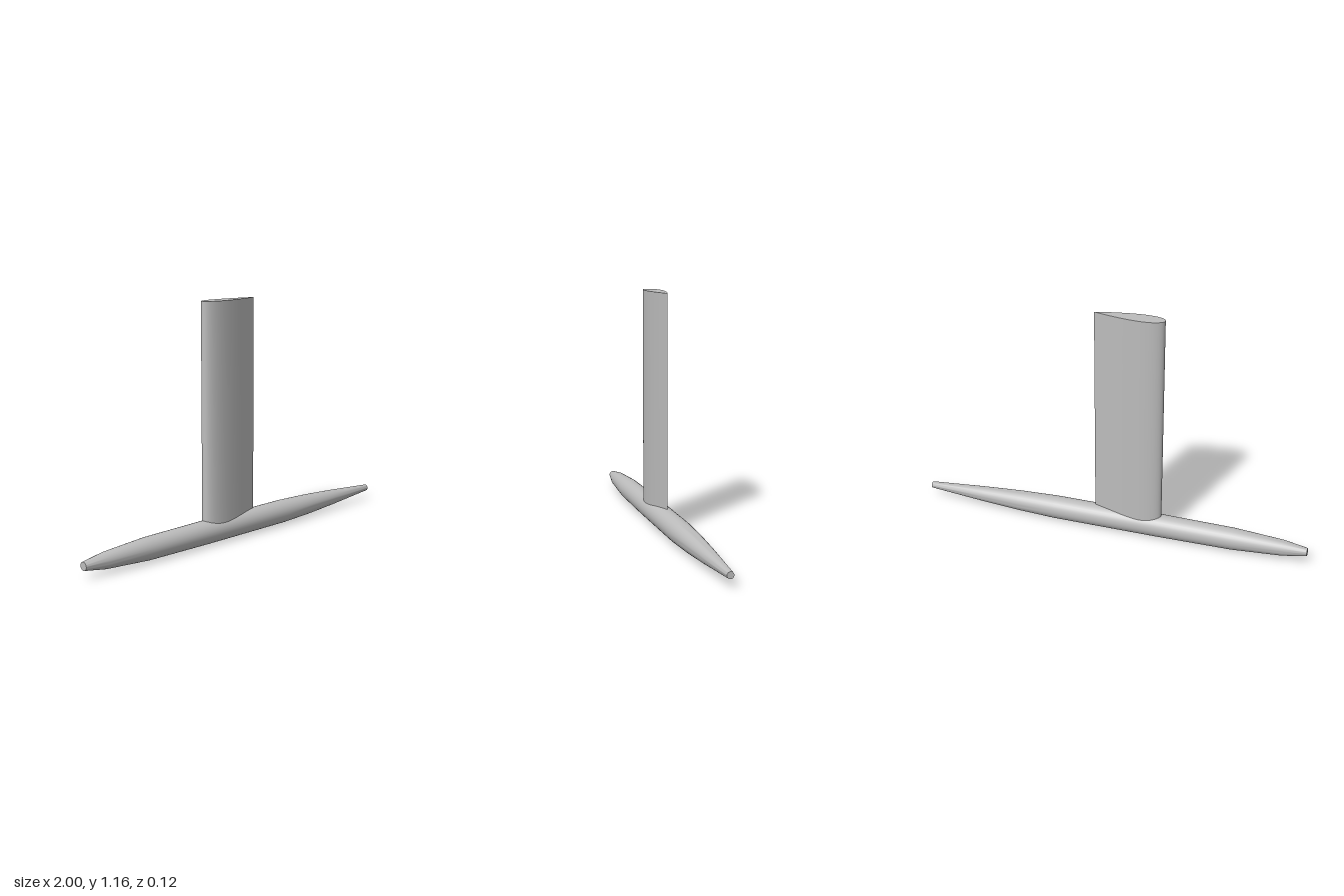
import * as THREE from 'three';
import { toCreasedNormals } from 'three/addons/utils/BufferGeometryUtils.js';

export function createModel() {
  const group = new THREE.Group();
  const grey = new THREE.MeshStandardMaterial({ color: 0xbcbcbc });
  grey.name = 'light grey';

  const add = (name, geometry, crease) => {
    const mesh = new THREE.Mesh(toCreasedNormals(geometry, crease), grey);
    mesh.name = name;
    group.add(mesh);
  };

  // Slender body of revolution along x, blunt nose at -x, with flat end caps
  const axisY = 0.06;
  const profile = [
    [0, -1], [0.02, -1], [0.039, -0.88], [0.0545, -0.63], [0.058, -0.25],
    [0.058, 0.3], [0.051, 0.5], [0.039, 0.7], [0.0165, 1], [0, 1],
  ].map(([r, x]) => new THREE.Vector2(r, x));
  const body = new THREE.LatheGeometry(profile, 32);
  body.rotateZ(-Math.PI / 2);
  body.translate(0, axisY, 0);
  add('body', body, 0.7);

  // Upright mast with a symmetric aerofoil section, round edge at -x
  const front = -0.262, chord = 0.348, top = 1.167, steps = 24;
  const halfThickness = (t) => 1.25 * chord * (0.2969 * Math.sqrt(t)
    - 0.126 * t - 0.3516 * t ** 2 + 0.2843 * t ** 3 - 0.1036 * t ** 4);
  const outline = [];
  for (let i = -steps; i < steps; i++) {
    const t = (1 - Math.cos((Math.PI * i) / steps)) / 2;
    const z = i === -steps ? 0 : Math.sign(i) * halfThickness(t);
    outline.push(new THREE.Vector2(front + chord * t, -z));
  }
  const mast = new THREE.ExtrudeGeometry(new THREE.Shape(outline), {
    depth: top - axisY, bevelEnabled: false,
  });
  mast.rotateX(-Math.PI / 2);
  mast.translate(0, axisY, 0);
  add('mast', mast, 0.6);

  return group;
}
